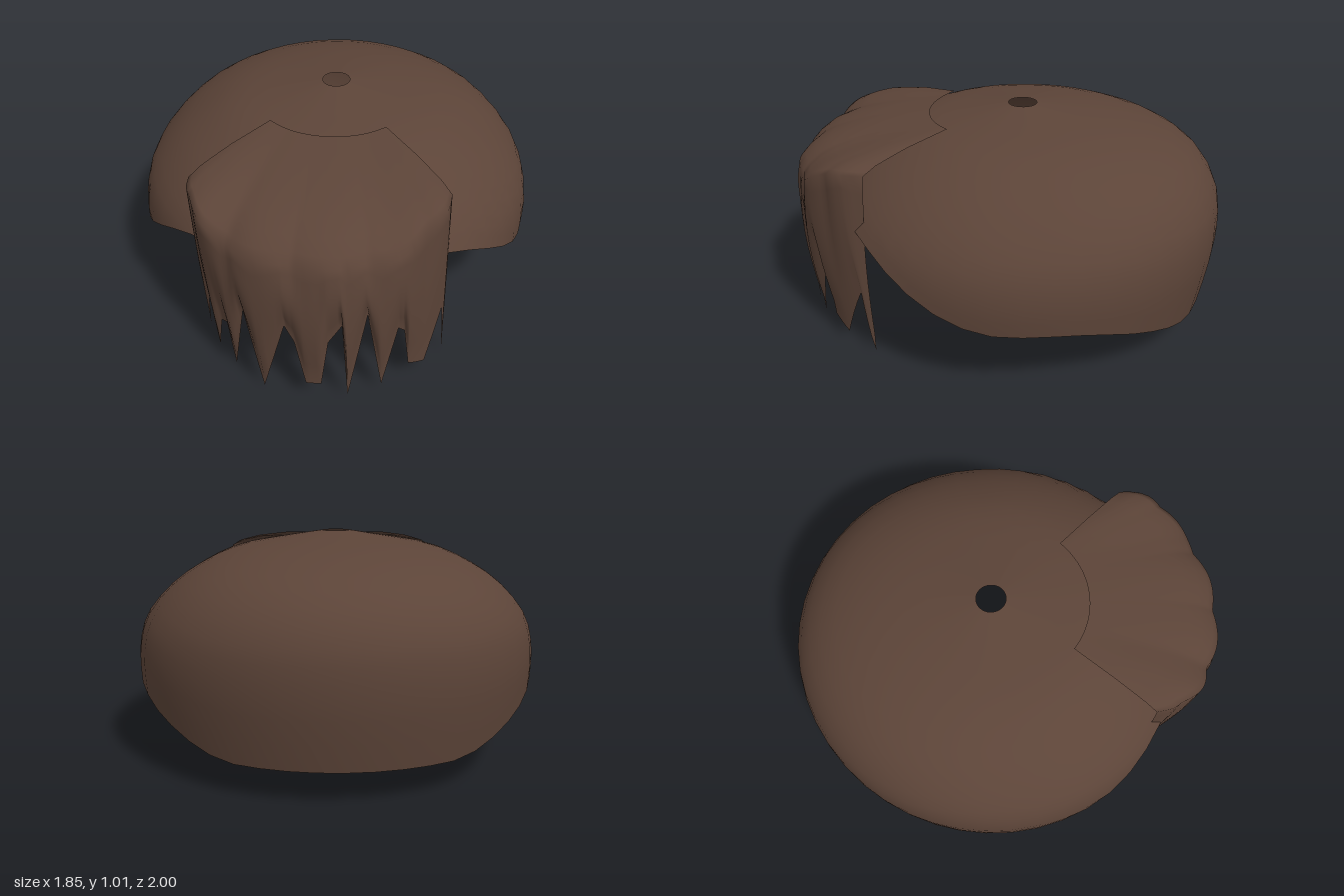
import * as THREE from 'three';
import { mergeVertices } from 'three/addons/utils/BufferGeometryUtils.js';

const { lerp, clamp, smoothstep } = THREE.MathUtils;

// Piecewise linear lookup through [input, output] pairs
function lookup(pairs, v) {
  if (v <= pairs[0][0]) return pairs[0][1];
  for (let k = 1; k < pairs.length; k++) {
    const [a, p] = pairs[k - 1], [b, q] = pairs[k];
    if (v <= b) return lerp(p, q, (v - a) / (b - a));
  }
  return pairs[pairs.length - 1][1];
}

// Smooth sheet: columns run to the right, rows run downwards
function sheet(cols, rows, point) {
  const pos = [], index = [], n = rows + 1;
  for (let i = 0; i <= cols; i++)
    for (let j = 0; j <= rows; j++) pos.push(...point(i, j));
  for (let i = 0; i < cols; i++)
    for (let j = 0; j < rows; j++) {
      const a = i * n + j, b = a + 1, c = a + n + 1, d = a + n;
      index.push(a, b, c, a, c, d);
    }
  let g = new THREE.BufferGeometry();
  g.setAttribute('position', new THREE.Float32BufferAttribute(pos, 3));
  g.setIndex(index);
  g = mergeVertices(g, 1e-5);
  g.computeVertexNormals();
  return g;
}

// Cap: oval shell with a small crown hole and a rim that dips at the back
function capGeometry() {
  const cols = 48, rows = 16;
  // height, radius at front and sides, radius at back
  const profile = [
    [1.02, 0.068, 0.072], [0.99, 0.27, 0.3], [0.95, 0.5, 0.53], [0.88, 0.67, 0.75], [0.78, 0.826, 0.9],
    [0.64, 0.957, 0.985], [0.5, 1, 1], [0.36, 1, 0.99], [0.14, 0.98, 0.95],
  ];
  const curve = new THREE.CatmullRomCurve3(profile.map(([y, f, b]) => new THREE.Vector3(f, y, b)));
  const rim = [
    [-0.86, 0.15], [-0.8, 0.17], [-0.6, 0.26], [-0.4, 0.33], [-0.25, 0.36], [0.1, 0.36],
    [0.25, 0.4], [0.4, 0.48], [0.55, 0.57], [0.66, 0.63], [0.88, 0.65],
  ];
  const endOf = (y) => {
    let lo = 0, hi = 1;
    for (let k = 0; k < 24; k++) {
      const m = (lo + hi) / 2;
      if (curve.getPoint(m).y > y) lo = m; else hi = m;
    }
    return lo;
  };
  return sheet(cols, rows, (i, j) => {
    const a = (i / cols) * Math.PI * 2, s = Math.sin(a), c = Math.cos(a);
    const p = curve.getPoint(endOf(lookup(rim, -0.06 + 0.94 * c)) * j / rows);
    const r = lerp(p.x, p.z, Math.max(0, -c));
    return [0.922 * r * s, p.y, -0.06 + 0.94 * r * c];
  });
}

// Fringe: sheet fanning out from a small arc, folding over and ending in jagged points
function fringeGeometry() {
  const tips = [
    [-0.515, 0.01], [-0.49, 0.3], [-0.44, 0.07], [-0.41, 0.26], [-0.38, 0.28], [-0.345, 0.06],
    [-0.285, 0.43], [-0.205, 0.03], [-0.1, 0.44], [-0.06, 0.36], [-0.015, 0.12], [0.05, 0.12],
    [0.08, 0.37], [0.135, 0.46], [0.16, 0.04], [0.235, 0.5], [0.3, 0.06], [0.36, 0.37],
    [0.385, 0.34], [0.41, 0.12], [0.48, 0.07], [0.54, 0.32], [0.56, 0.02],
  ];
  const sub = 4, topRows = 8, dropRows = 10;
  const cols = (tips.length - 1) * sub;
  // height along the top, at the middle and at the side edges
  const middle = [[0, 0.982], [0.4, 0.945], [0.7, 0.9], [0.9, 0.845], [1, 0.775]];
  const edge = [[0, 0.985], [0.5, 0.955], [0.85, 0.92], [1, 0.89]];

  return sheet(cols, topRows + dropRows, (i, j) => {
    const k = Math.min(Math.floor(i / sub), tips.length - 2), f = i / sub - k;
    const xb = lerp(tips[k][0], tips[k + 1][0], f);
    const yb = lerp(tips[k][1], tips[k + 1][1], f);
    const u = clamp(xb / (xb < 0 ? 0.515 : 0.56), -1, 1);
    const across = Math.asin(u), arc = u * 0.747;
    const side = smoothstep(Math.abs(u), 0.55, 1);
    // soft locks, strongest at the fold
    const lock = 0.022 * (Math.abs(Math.sin(across * 5.5 + 0.6)) - 0.6) * (1 - u ** 8);
    const sx = 0.54 * u + lock * u;
    const sz = 0.6 + 0.375 * Math.cos(across) + lock;
    const sy = lerp(0.775, 0.89, side);

    if (j <= topRows) {
      const t = 1 - (1 - j / topRows) ** 1.4;
      const y = lerp(lookup(middle, t), lookup(edge, t), side);
      return [lerp(0.37 * Math.sin(arc), sx, t), y, lerp(0.37 * Math.cos(arc), sz, t)];
    }
    const t = (j - topRows) / dropRows;
    const zb = 0.605 + 0.36 * Math.max(0, 1 - u * u) ** 0.75;
    const bulge = 0.03 * Math.sin(Math.PI * Math.min(1, t * 1.1));
    return [lerp(sx, xb, t), lerp(sy, yb, t), lerp(sz, zb, t) + bulge * (1 - side * 0.5)];
  });
}

export function createModel() {
  const group = new THREE.Group();
  group.name = 'hair';
  const brown = new THREE.MeshStandardMaterial({ color: 0x5c4438, side: THREE.DoubleSide });
  brown.name = 'brown hair';

  const cap = new THREE.Mesh(capGeometry(), brown);
  cap.name = 'hairCap';
  const fringe = new THREE.Mesh(fringeGeometry(), brown);
  fringe.name = 'fringe';
  group.add(cap, fringe);
  return group;
}
